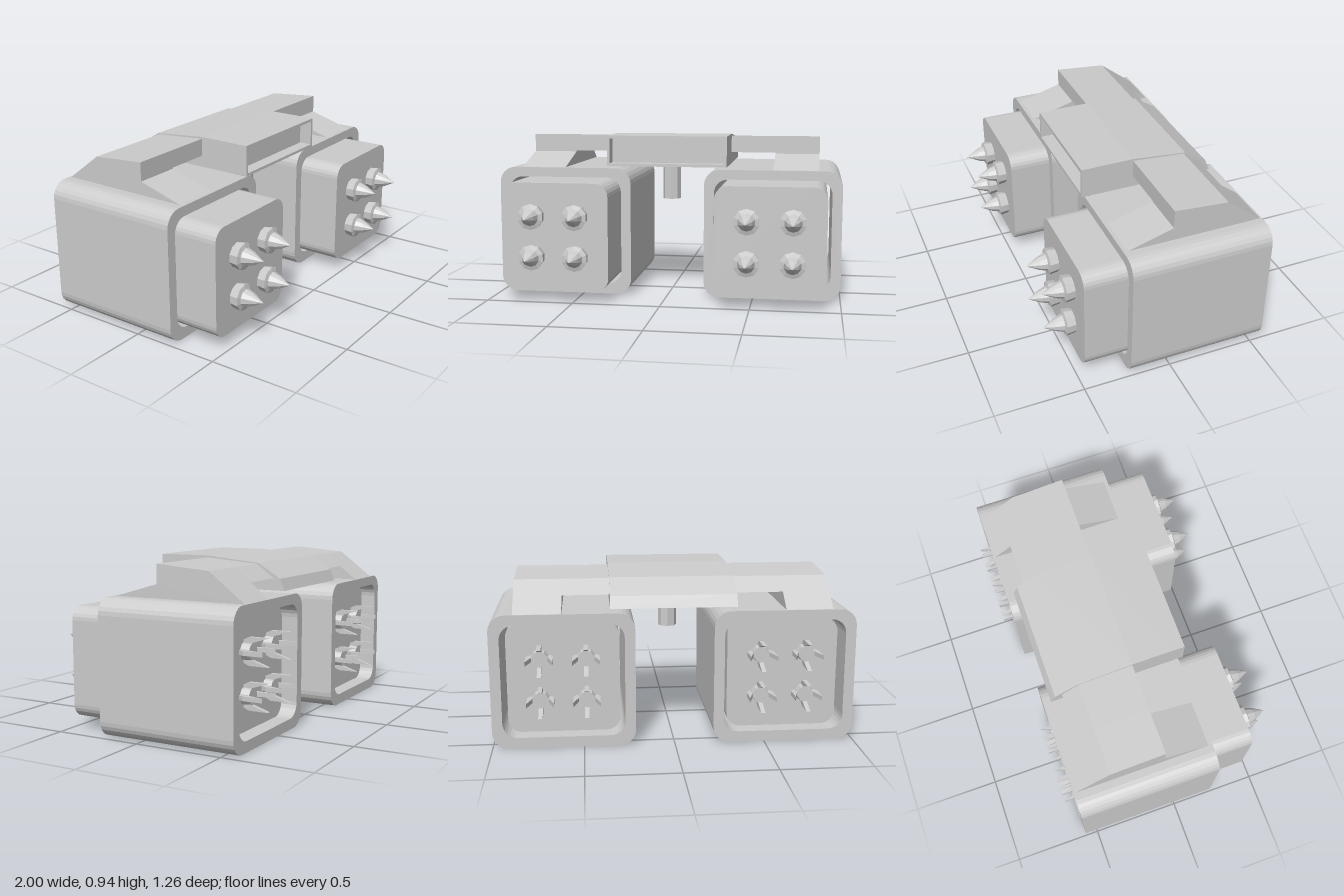
import * as THREE from 'three';

const grey = new THREE.MeshStandardMaterial({ color: 0xcccccc, flatShading: true });

function mesh(geometry, name) {
  const m = new THREE.Mesh(geometry, grey);
  m.name = name;
  return m;
}

// Rounded rectangle centred on (0, cy), traced into a Shape or Path
function roundRect(path, w, h, r, cy) {
  const x = w / 2, b = cy - h / 2, t = cy + h / 2;
  path.moveTo(-x + r, b);
  path.lineTo(x - r, b);
  path.absarc(x - r, b + r, r, -Math.PI / 2, 0);
  path.lineTo(x, t - r);
  path.absarc(x - r, t - r, r, 0, Math.PI / 2);
  path.lineTo(-x + r, t);
  path.absarc(-x + r, t - r, r, Math.PI / 2, Math.PI);
  path.lineTo(-x, b + r);
  path.absarc(-x + r, b + r, r, Math.PI, Math.PI * 1.5);
  return path;
}

// Extrude a shape from z0 to z1
function extrudeZ(shape, z0, z1) {
  const g = new THREE.ExtrudeGeometry(shape, { depth: z1 - z0, bevelEnabled: false, curveSegments: 3 });
  return g.translate(0, 0, z0);
}

// Extrude a side profile of [z, y] points from x0 to x1
function extrudeX(profile, x0, x1) {
  const shape = new THREE.Shape(profile.map(([z, y]) => new THREE.Vector2(-z, y)));
  const g = new THREE.ExtrudeGeometry(shape, { depth: x1 - x0, bevelEnabled: false });
  return g.rotateY(Math.PI / 2).translate(x0, 0, 0);
}

// Missile pointing along +z: pointed nose, collar, tail with four swept fins
function createMissile() {
  const missile = new THREE.Group();
  missile.name = 'missile';
  const profile = [[0, -0.54], [0.045, -0.54], [0.05, -0.47], [0.05, 0.44], [0.066, 0.45],
    [0.074, 0.515], [0.05, 0.522], [0.036, 0.565], [0, 0.632]]
    .map(([r, z]) => new THREE.Vector2(r, z));
  missile.add(mesh(new THREE.LatheGeometry(profile, 10).rotateX(Math.PI / 2), 'missileBody'));

  const finShape = new THREE.Shape([[0.02, -0.45], [0.05, -0.47], [0.074, -0.52],
    [0.074, -0.63], [0.045, -0.54], [0.02, -0.53]].map(([r, z]) => new THREE.Vector2(r, z)));
  for (let i = 0; i < 4; i++) {
    const g = new THREE.ExtrudeGeometry(finShape, { depth: 0.024, bevelEnabled: false });
    g.translate(0, 0, -0.012).rotateY(i * Math.PI / 2).rotateX(Math.PI / 2);
    missile.add(mesh(g, 'tailFin'));
  }
  return missile;
}

// Open casing with an inner block carrying a two by two set of missiles
function createPod() {
  const pod = new THREE.Group();
  const casing = roundRect(new THREE.Shape(), 0.785, 0.745, 0.09, 0.3725);
  casing.holes.push(roundRect(new THREE.Path(), 0.67, 0.63, 0.08, 0.375));
  pod.add(mesh(extrudeZ(casing, -0.572, 0.23), 'podCasing'));

  const block = roundRect(new THREE.Shape(), 0.618, 0.614, 0.075, 0.372);
  pod.add(mesh(extrudeZ(block, -0.49, 0.465), 'missileBlock'));

  for (const x of [-0.126, 0.126]) {
    for (const y of [0.258, 0.49]) {
      const missile = createMissile();
      missile.position.set(x, y, 0);
      pod.add(missile);
    }
  }
  return pod;
}

export function createModel() {
  const model = new THREE.Group();
  model.name = 'twinMissileLauncher';

  // Arm sections: the outer one rests on the pod, the inner one spans the gap
  const outerArm = [[-0.05, 0.925], [-0.36, 0.9], [-0.57, 0.74], [0.225, 0.74], [-0.05, 0.82]];
  const innerArm = [[-0.05, 0.925], [-0.36, 0.9], [-0.46, 0.826], [-0.05, 0.826]];

  for (const side of [-1, 1]) {
    const pod = createPod();
    pod.name = side > 0 ? 'leftPod' : 'rightPod';
    pod.position.x = side * 0.6075;
    model.add(pod);

    const span = (profile, a, b, name) =>
      model.add(mesh(extrudeX(profile, Math.min(side * a, side * b), Math.max(side * a, side * b)), name));
    span(outerArm, 0.608, 0.868, 'outerArm');
    span(innerArm, 0.33, 0.608, 'innerArm');
  }

  // Central housing with a sloped rear
  const housing = [[0.18, 0.936], [-0.05, 0.936], [-0.37, 0.905], [-0.5, 0.825],
    [-0.528, 0.76], [0.18, 0.76]];
  model.add(mesh(extrudeX(housing, -0.347, 0.347), 'centralHousing'));

  // Thin rim around the recessed front of the housing
  const rim = roundRect(new THREE.Shape(), 0.694, 0.176, 0.001, 0.848);
  rim.holes.push(roundRect(new THREE.Path(), 0.662, 0.144, 0.001, 0.848));
  model.add(mesh(extrudeZ(rim, 0.18, 0.255), 'housingRim'));

  // Mounting peg below the housing
  const peg = mesh(new THREE.CylinderGeometry(0.054, 0.054, 0.23, 8), 'mountingPeg');
  peg.position.set(-0.006, 0.665, 0);
  model.add(peg);

  return model;
}
